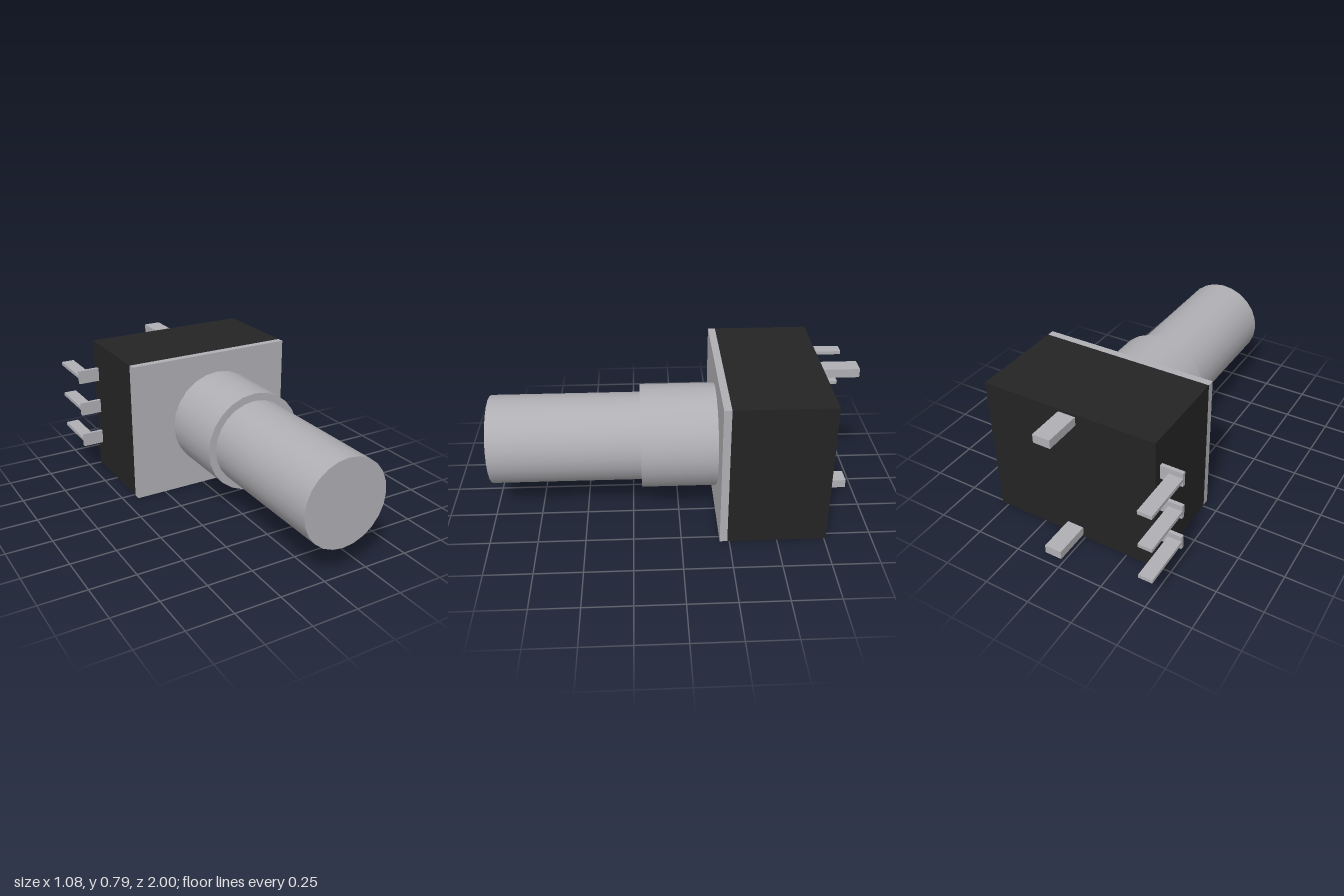
import * as THREE from 'three';

export function createModel() {
  const model = new THREE.Group();
  model.name = 'rotaryControl';

  const metal = new THREE.MeshStandardMaterial({ color: 0xb0afb4 });
  metal.name = 'grey metal';
  const plastic = new THREE.MeshStandardMaterial({ color: 0x242424 });
  plastic.name = 'black plastic';

  const axisX = 0.1;
  const axisY = 0.394;

  // Box given by its minimum and maximum corners
  function box(name, material, [x0, y0, z0], [x1, y1, z1], parent = model) {
    const mesh = new THREE.Mesh(new THREE.BoxGeometry(x1 - x0, y1 - y0, z1 - z0), material);
    mesh.position.set((x0 + x1) / 2, (y0 + y1) / 2, (z0 + z1) / 2);
    mesh.name = name;
    parent.add(mesh);
  }

  // Cylinder lying along z on the control's axis
  function barrel(name, radius, z0, z1) {
    const geometry = new THREE.CylinderGeometry(radius, radius, z1 - z0, 24);
    geometry.rotateX(Math.PI / 2);
    const mesh = new THREE.Mesh(geometry, metal);
    mesh.position.set(axisX, axisY, (z0 + z1) / 2);
    mesh.name = name;
    model.add(mesh);
  }

  // Housing and front plate
  box('housing', plastic, [-0.42, 0, -0.76], [0.54, 0.787, -0.24]);
  box('frontPlate', metal, [-0.42, 0, -0.24], [0.54, 0.787, -0.2]);

  // Bushing and shaft
  barrel('bushing', 0.28, -0.2, 0.2);
  barrel('shaft', 0.238, 0.2, 1);

  // Mounting lugs at the top and bottom of the back
  for (const side of [-1, 1]) {
    const y = axisY + side * 0.354;
    box('mountingLug', metal, [0.01, y - 0.024, -0.96], [0.105, y + 0.024, -0.76]);
  }

  // Three bent terminals: a foot on the housing side and a thin pin to the back
  for (const offset of [-0.2, 0, 0.2]) {
    const y = axisY + offset;
    const terminal = new THREE.Group();
    terminal.name = 'terminal';
    box('terminalFoot', metal, [-0.54, y - 0.039, -0.72], [-0.42, y + 0.039, -0.7], terminal);
    box('terminalPin', metal, [-0.54, y - 0.01, -1], [-0.465, y + 0.01, -0.72], terminal);
    model.add(terminal);
  }

  return model;
}
